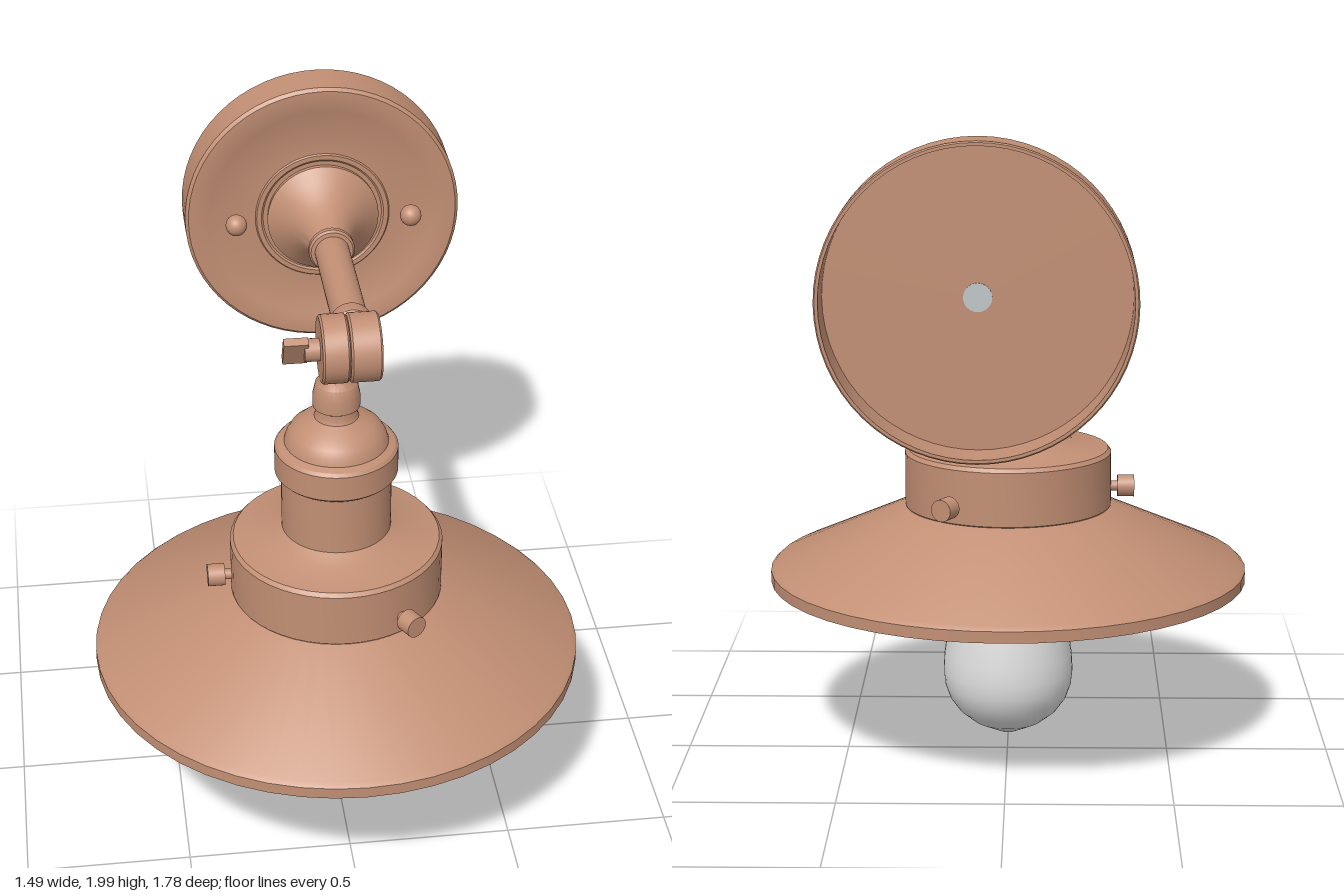
import * as THREE from 'three';
import { toCreasedNormals } from 'three/addons/utils/BufferGeometryUtils.js';

const LAMP_Z = 0.147;               // vertical lamp axis
const ARM_X = 0.068, ARM_Y = 1.56;  // horizontal arm axis

export function createModel() {
  const group = new THREE.Group();
  const material = (name, color, side = THREE.FrontSide) => {
    const m = new THREE.MeshStandardMaterial({ color, side });
    m.name = name;
    return m;
  };
  const copper = material('copper', 0xc28f74);
  const glass = material('bulbWhite', 0xe0e0e0, THREE.DoubleSide);
  const steel = material('steel', 0xc0c6c8);

  const add = (name, geometry, mat, x = 0, y = 0, z = 0, parent = group) => {
    const mesh = new THREE.Mesh(geometry, mat);
    mesh.name = name;
    mesh.position.set(x, y, z);
    parent.add(mesh);
    return mesh;
  };
  const lathe = (points, segments = 48, crease = 0.5) => toCreasedNormals(
    new THREE.LatheGeometry(points.map(([r, h]) => new THREE.Vector2(r, h)), segments), crease);
  // Revolved part on the lamp axis; heights are world y
  const lampPart = (name, points, mat = copper, segments = 48, crease = 0.5) =>
    add(name, lathe(points, segments, crease), mat, 0, 0, LAMP_Z);
  // Revolved part on the arm axis; heights are world z
  const armPart = (name, points, segments = 48) =>
    add(name, lathe(points, segments).rotateX(Math.PI / 2), copper, ARM_X, ARM_Y, 0);

  // Shade cone with a short rim
  lampPart('shade', [
    [0.735, 0.53], [0.745, 0.53], [0.745, 0.565], [0.732, 0.577], [0.32, 0.762],
    [0.30, 0.757], [0.725, 0.563], [0.735, 0.553], [0.735, 0.53],
  ]);

  // Collar and socket housing
  lampPart('collar', [
    [0.31, 0.755], [0.322, 0.765], [0.322, 0.932], [0.312, 0.944], [0.21, 0.96], [0.175, 0.98], [0.165, 0.985],
  ]);
  lampPart('socketHousing', [[0.165, 0.955], [0.165, 1.18]]);
  lampPart('housingCap', [
    [0.16, 1.172], [0.176, 1.174], [0.184, 1.182], [0.184, 1.262], [0.176, 1.272], [0.155, 1.28],
    [0.15, 1.298], [0.136, 1.322], [0.112, 1.342], [0.08, 1.357], [0.066, 1.365],
    [0.062, 1.375], [0.062, 1.4],
  ]);
  lampPart('stem', [
    [0.06, 1.395], [0.07, 1.402], [0.07, 1.44], [0.062, 1.478], [0.05, 1.492], [0.04, 1.53],
  ], copper, 32);

  // White lining of the collar, lamp holder and bulb
  lampPart('collarLining', [[0.302, 0.757], [0.302, 0.925], [0.08, 0.945]], glass);
  lampPart('lampHolder', [[0.1, 0.73], [0.1, 0.945]], glass, 32);
  lampPart('bulb', [
    [0, 0.006], [0.02, 0.012], [0.06, 0.03], [0.11, 0.054], [0.155, 0.09], [0.185, 0.132], [0.2, 0.175],
    [0.205, 0.22], [0.202, 0.275], [0.19, 0.36], [0.176, 0.45], [0.16, 0.54],
    [0.137, 0.64], [0.115, 0.71], [0.1, 0.745],
  ], glass, 48, 1);

  // Three thumb screws around the collar
  for (const degrees of [60, 180, 300]) {
    const screw = new THREE.Group();
    screw.name = 'thumbScrew';
    screw.position.set(0, 0.82, LAMP_Z);
    screw.rotation.y = THREE.MathUtils.degToRad(degrees);
    group.add(screw);
    add('screwShaft', new THREE.CylinderGeometry(0.016, 0.016, 0.05, 16).rotateZ(Math.PI / 2),
      copper, 0.33, 0, 0, screw);
    add('screwHead', new THREE.CylinderGeometry(0.034, 0.034, 0.052, 24).rotateZ(Math.PI / 2),
      copper, 0.368, 0, 0, screw);
  }

  // Swivel knuckle: two discs on a sideways axis
  const disc = (r, w) => lathe([
    [0, -w / 2], [r - 0.006, -w / 2], [r, -w / 2 + 0.006], [r, w / 2 - 0.006], [r - 0.006, w / 2], [0, w / 2],
  ], 40).rotateZ(-Math.PI / 2);
  add('knuckleInner', disc(0.102, 0.08), copper, -0.01, 1.59, LAMP_Z);
  add('knuckleOuter', disc(0.102, 0.092), copper, 0.078, 1.59, LAMP_Z);
  add('keyShaft', new THREE.CylinderGeometry(0.034, 0.034, 0.05, 20).rotateZ(Math.PI / 2),
    copper, -0.07, 1.59, LAMP_Z);
  add('wingKey', new THREE.BoxGeometry(0.072, 0.1, 0.026), copper, -0.12, 1.59, LAMP_Z).rotation.x = 0.5;

  // Arm from flared foot to rounded end
  armPart('arm', [
    [0.054, -0.53], [0.054, -0.06], [0.062, -0.058], [0.064, -0.05], [0.064, -0.01], [0.058, -0.002],
    [0.056, 0.02], [0.05, 0.042], [0.04, 0.06], [0.03, 0.08],
  ], 32);
  armPart('armRing', [
    [0.054, -0.524], [0.066, -0.522], [0.072, -0.514], [0.072, -0.498], [0.066, -0.49], [0.054, -0.488],
  ], 32);
  armPart('flaredFoot', [
    [0.176, -0.74], [0.178, -0.722], [0.17, -0.715], [0.142, -0.69], [0.112, -0.655], [0.09, -0.62],
    [0.074, -0.58], [0.064, -0.545], [0.058, -0.515],
  ]);

  // Hollow wall plate, open at the back, with shallow raised rings
  armPart('wallPlate', [
    [0, -0.755], [0.425, -0.755], [0.425, -0.885], [0.434, -0.885], [0.438, -0.881], [0.438, -0.747],
    [0.428, -0.737], [0.362, -0.737], [0.356, -0.74], [0.215, -0.74], [0.211, -0.735],
    [0.196, -0.735], [0.19, -0.74], [0, -0.74],
  ], 64);
  add('cableHole', new THREE.CylinderGeometry(0.04, 0.04, 0.004, 24).rotateX(Math.PI / 2),
    steel, ARM_X, ARM_Y, -0.756);

  // Round-headed mounting screws
  for (const side of [-1, 1]) {
    const x = ARM_X + side * 0.279;
    add('mountingScrewHead', new THREE.SphereGeometry(0.034, 24, 16), copper, x, ARM_Y, -0.703);
    add('mountingScrewNeck', new THREE.CylinderGeometry(0.018, 0.018, 0.04, 16).rotateX(Math.PI / 2),
      copper, x, ARM_Y, -0.728);
  }

  return group;
}
